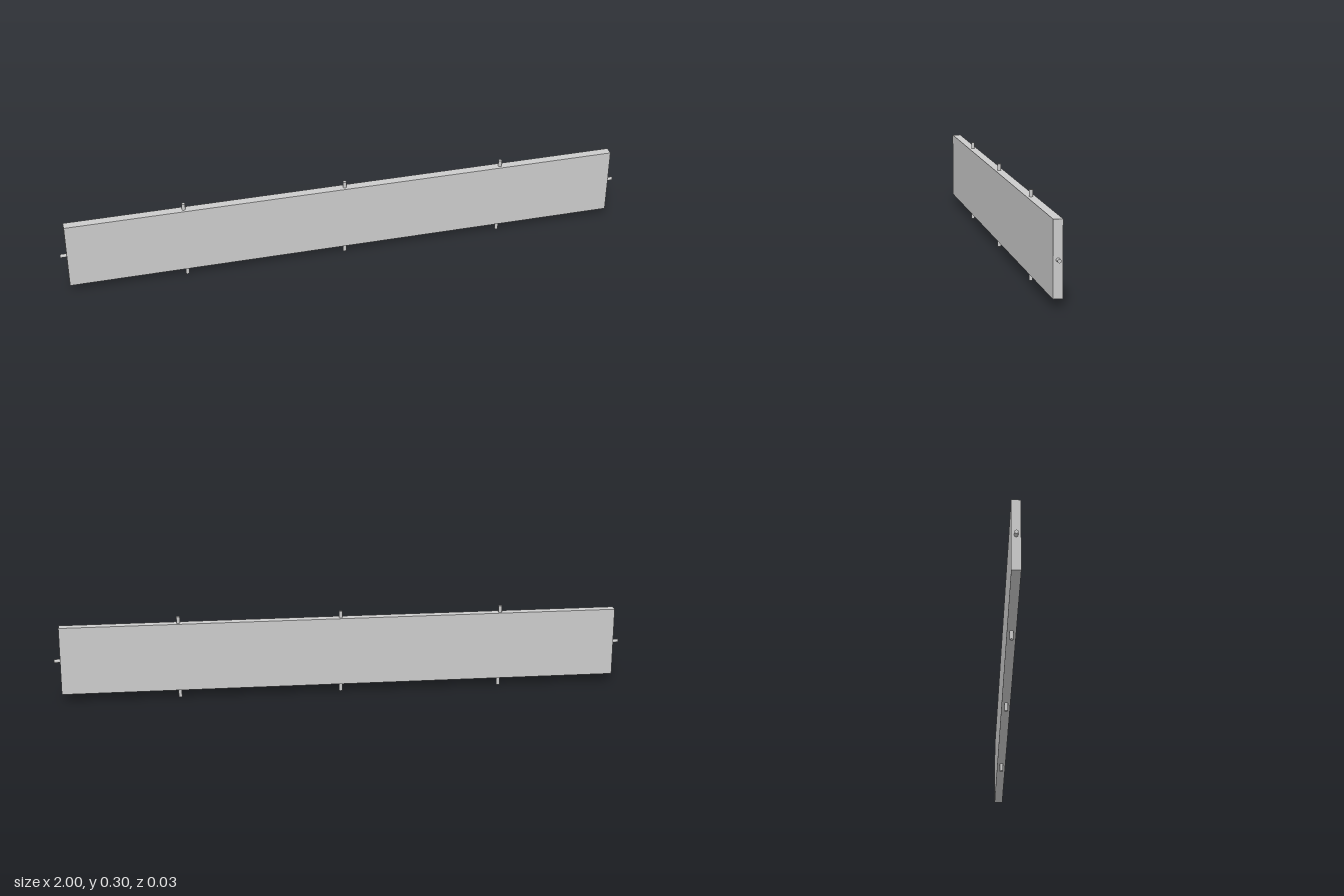
import * as THREE from 'three';

export function createModel() {
  const model = new THREE.Group();
  const material = new THREE.MeshStandardMaterial({ color: 0xcccccc });
  const bottom = 0.0295, top = 0.2725, halfLength = 0.978;
  const embed = 0.005;

  // Long flat board
  const panel = new THREE.Mesh(
    new THREE.BoxGeometry(2 * halfLength, top - bottom, 0.0305), material);
  panel.name = 'panel';
  panel.position.y = (top + bottom) / 2;
  model.add(panel);

  // Round dowel pin between two points
  function addPin(name, from, to) {
    const a = new THREE.Vector3(...from), b = new THREE.Vector3(...to);
    const pin = new THREE.Mesh(
      new THREE.CylinderGeometry(0.0062, 0.0062, a.distanceTo(b), 24), material);
    pin.name = name;
    pin.position.copy(a).lerp(b, 0.5);
    pin.quaternion.setFromUnitVectors(
      new THREE.Vector3(0, 1, 0), b.sub(a).normalize());
    model.add(pin);
  }

  // Three pins along the top and bottom edges
  for (const x of [-0.567, 0, 0.567]) {
    addPin('topPin', [x, top - embed, 0], [x, 0.296, 0]);
    addPin('bottomPin', [x, 0, 0], [x, bottom + embed, 0]);
  }

  // One pin in each end
  for (const side of [-1, 1]) {
    addPin(side > 0 ? 'leftEndPin' : 'rightEndPin',
      [side * (halfLength - embed), 0.149, 0], [side, 0.149, 0]);
  }

  return model;
}
